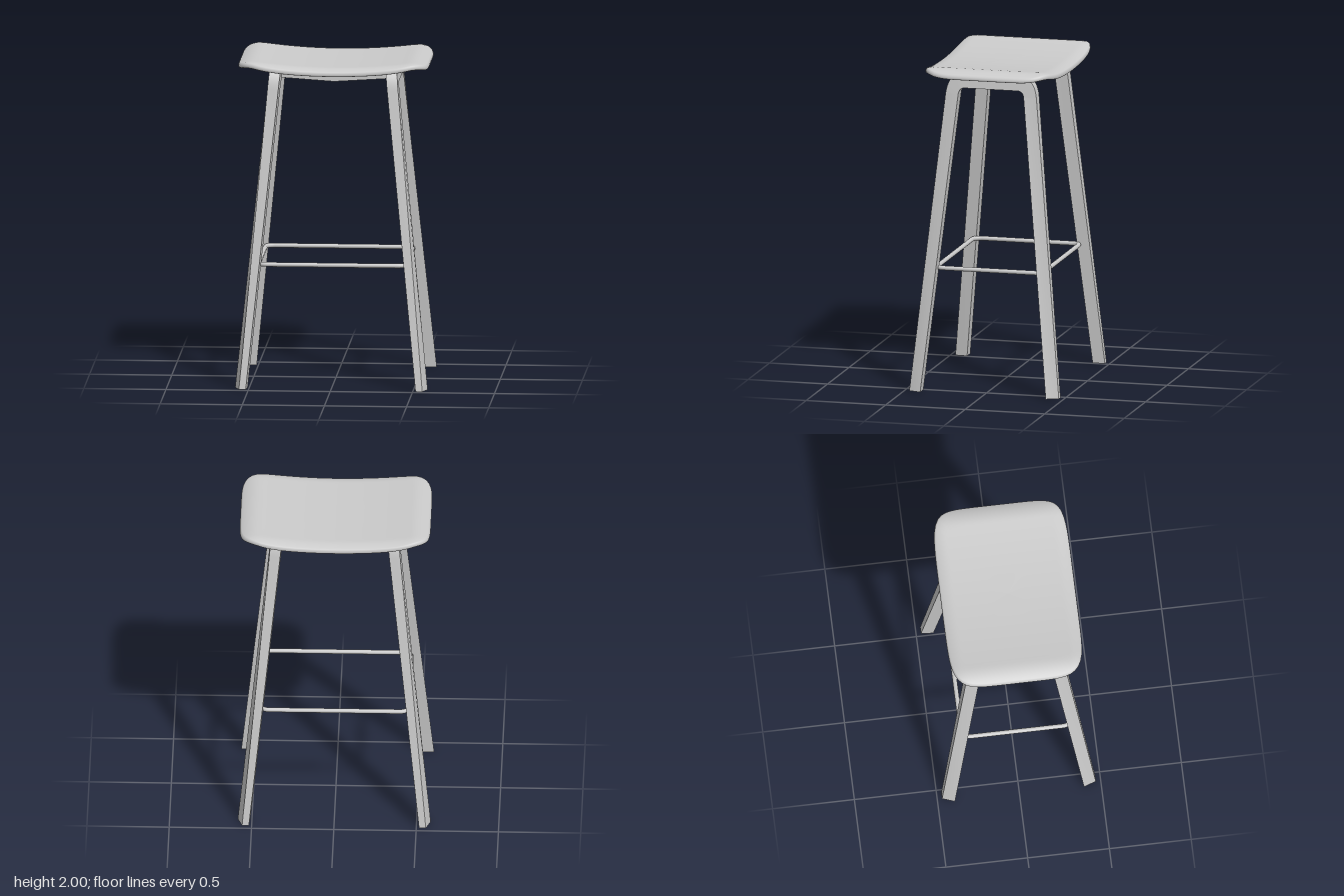
import * as THREE from 'three';
import { toCreasedNormals } from 'three/addons/utils/BufferGeometryUtils.js';

const material = new THREE.MeshStandardMaterial({ color: 0xcccccc });

function indexed(positions, indices) {
  const g = new THREE.BufferGeometry();
  g.setAttribute('position', new THREE.Float32BufferAttribute(positions, 3));
  g.setIndex(indices);
  g.computeVertexNormals();
  return g;
}

// Saddle seat: rounded outline, raised ends and a soft downturn at the rim
function seatGeometry() {
  const A = 0.58, B = 0.41, N = 6.5, SEG = 112, T = 0.03;
  const top = (x, z) => 1.969 + 0.14 * x * x
    - 3 * Math.max(0, Math.abs(x) - 0.46) ** 2
    - 3 * Math.max(0, Math.abs(z) - 0.33) ** 2;
  // Rings: [scale, drop] over the top, round the rim and back under
  const rings = [];
  for (let i = 0; i <= 20; i++) rings.push([0.98 * Math.sqrt(i / 20) + 0.001, 0]);
  for (let i = 1; i < 8; i++) {
    const a = (i / 8) * Math.PI;
    rings.push([0.98 + 0.02 * Math.sin(a), (T / 2) * (1 - Math.cos(a))]);
  }
  for (let i = 20; i >= 0; i--) rings.push([0.98 * Math.sqrt(i / 20) + 0.001, T]);
  const pos = [], idx = [];
  for (const [s, drop] of rings) {
    for (let j = 0; j < SEG; j++) {
      const a = (j / SEG) * Math.PI * 2, c = Math.cos(a), d = Math.sin(a);
      const r = s / (Math.abs(c) ** N + Math.abs(d) ** N) ** (1 / N);
      const x = A * r * c, z = B * r * d;
      pos.push(x, top(x, z) - drop, z);
    }
  }
  for (let i = 0; i < rings.length - 1; i++) {
    for (let j = 0; j < SEG; j++) {
      const k = (j + 1) % SEG;
      const a = i * SEG + j, b = i * SEG + k, c = a + SEG, d = b + SEG;
      idx.push(a, b, d, a, d, c);
    }
  }
  // Close the centres
  const last = (rings.length - 1) * SEG;
  for (let j = 1; j < SEG - 1; j++) {
    idx.push(0, j + 1, j, last, last + j, last + j + 1);
  }
  return indexed(pos, idx);
}

// Side frame: two splayed legs joined by a bent top bar, with a bevelled outer face
function sideFrameGeometry() {
  const v = (z, y) => new THREE.Vector2(z, y);
  const outerBend = new THREE.QuadraticBezierCurve(v(0.286, 1.82), v(0.272, 1.955), v(0.165, 1.955)).getPoints(10);
  const innerBend = new THREE.QuadraticBezierCurve(v(0.206, 1.82), v(0.202, 1.862), v(0.165, 1.862)).getPoints(10);
  const half = [[v(0.47, 0), v(0.395, 0)], ...outerBend.map((o, i) => [o, innerBend[i]])];
  const mirrored = half.map(([o, n]) => [v(-o.x, o.y), v(-n.x, n.y)]).reverse();
  const stations = [...half, ...mirrored];
  const pos = [], idx = [];
  for (const [o, n] of stations) {
    const lo = 0.102 * o.y, ln = 0.102 * n.y;
    pos.push(0.558 + 0.014 * o.y - lo, o.y, o.x);
    pos.push(0.517 - lo, o.y, o.x);
    pos.push(0.51 - ln, n.y, n.x);
    pos.push(0.586 - ln, n.y, n.x);
  }
  for (let i = 0; i < stations.length - 1; i++) {
    for (let j = 0; j < 4; j++) {
      const a = i * 4 + j, b = i * 4 + (j + 1) % 4;
      idx.push(a, a + 4, b + 4, a, b + 4, b);
    }
  }
  const e = (stations.length - 1) * 4;
  idx.push(0, 1, 2, 0, 2, 3, e, e + 2, e + 1, e, e + 3, e + 2);
  return toCreasedNormals(indexed(pos, idx), 0.35);
}

// Cross rail under the seat, deepest at its middle
function railGeometry() {
  const s = new THREE.Shape();
  s.moveTo(-0.33, 1.877);
  s.lineTo(0, 1.855);
  s.lineTo(0.33, 1.877);
  s.lineTo(0.33, 1.953);
  s.quadraticCurveTo(0, 1.93, -0.33, 1.953);
  const g = new THREE.ExtrudeGeometry(s, { depth: 0.11, bevelEnabled: false, curveSegments: 16 });
  return g.translate(0, 0, -0.055);
}

// Footrest: a thin rod bent into a rounded rectangle
function footrestGeometry() {
  const X = 0.45, Z = 0.335, R = 0.055, Y = 0.75;
  const p = (x, z) => new THREE.Vector3(x, Y, z);
  const path = new THREE.CurvePath();
  const corners = [[X, Z], [-X, Z], [-X, -Z], [X, -Z]];
  const toward = ([x, z], [u, w]) => p(x + Math.sign(u - x) * R, z + Math.sign(w - z) * R);
  corners.forEach((c, i) => {
    const prev = corners[(i + 3) % 4], next = corners[(i + 1) % 4];
    path.add(new THREE.QuadraticBezierCurve3(toward(c, prev), p(...c), toward(c, next)));
    path.add(new THREE.LineCurve3(toward(c, next), toward(next, c)));
  });
  return new THREE.TubeGeometry(path, 240, 0.014, 12, true);
}

export function createModel() {
  const model = new THREE.Group();
  model.name = 'barStool';
  const add = (name, geometry) => {
    const mesh = new THREE.Mesh(geometry, material);
    mesh.name = name;
    model.add(mesh);
    return mesh;
  };

  add('seat', seatGeometry());

  const frame = sideFrameGeometry();
  add('leftLegFrame', frame);
  add('rightLegFrame', frame).rotation.y = Math.PI;

  const rail = railGeometry();
  add('frontCrossRail', rail).position.z = 0.122;
  add('backCrossRail', rail).position.z = -0.122;

  add('footrest', footrestGeometry());
  return model;
}
